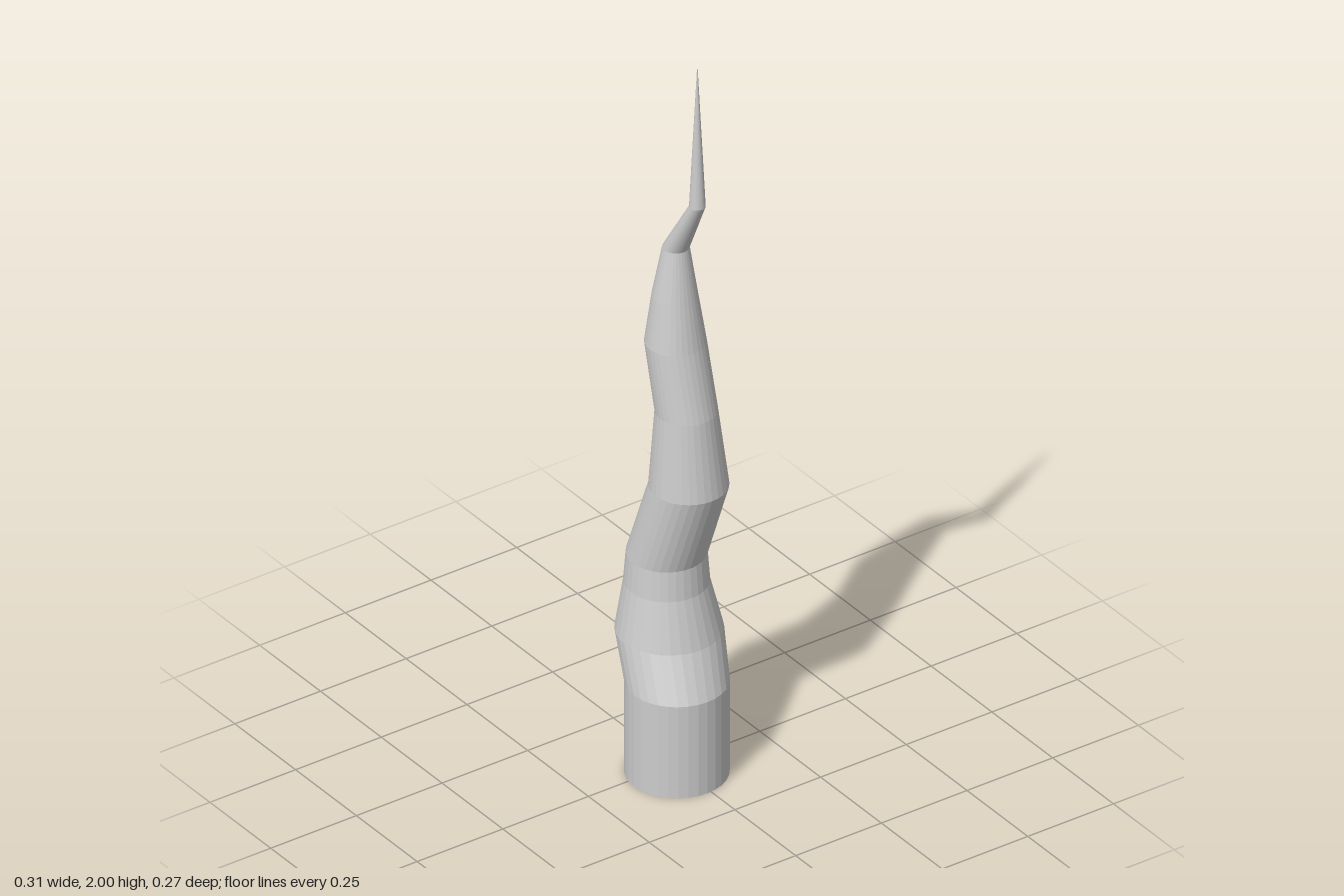
import * as THREE from 'three';

const SIDES = 32;

// Cross-sections from base to tip: height, centre x, centre z, radius
const RINGS = [
  [0, 0.027, 0.011, 0.126],
  [0.257, 0.027, 0.011, 0.126],
  [0.373, -0.026, -0.004, 0.131],
  [0.505, -0.031, 0, 0.104],
  [0.585, -0.031, 0, 0.098],
  [0.805, 0.039, -0.015, 0.097],
  [1.015, 0.036, -0.01, 0.076],
  [1.195, 0.001, -0.003, 0.075],
  [1.325, 0, -0.002, 0.056],
  [1.46, 0.003, -0.003, 0.033],
  [1.615, 0.087, -0.006, 0.02],
  [2, 0.087, -0.006, 0.001],
];

// Skin the rings with quads and close both ends
function loftRings(rings) {
  const positions = [], index = [];
  for (const [y, cx, cz, r] of rings) {
    for (let i = 0; i < SIDES; i++) {
      const a = (i / SIDES) * Math.PI * 2;
      positions.push(cx + r * Math.sin(a), y, cz + r * Math.cos(a));
    }
  }
  for (let k = 0; k < rings.length - 1; k++) {
    for (let i = 0; i < SIDES; i++) {
      const j = (i + 1) % SIDES;
      const a = k * SIDES + i, b = k * SIDES + j;
      index.push(a, b, b + SIDES, a, b + SIDES, a + SIDES);
    }
  }
  const top = (rings.length - 1) * SIDES;
  for (let i = 1; i < SIDES - 1; i++) {
    index.push(0, i + 1, i);
    index.push(top, top + i, top + i + 1);
  }
  const geometry = new THREE.BufferGeometry();
  geometry.setAttribute('position', new THREE.Float32BufferAttribute(positions, 3));
  geometry.setIndex(index);
  // Separate the faces so every facet has its own normal
  const faceted = geometry.toNonIndexed();
  faceted.computeVertexNormals();
  return faceted;
}

export function createModel() {
  const group = new THREE.Group();
  group.name = 'crookedSpike';

  const grey = new THREE.MeshStandardMaterial({ color: 0xcccccc });
  grey.name = 'light grey';

  // Crooked tapering shaft
  const shaft = new THREE.Mesh(loftRings(RINGS), grey);
  shaft.name = 'shaft';
  group.add(shaft);

  return group;
}
